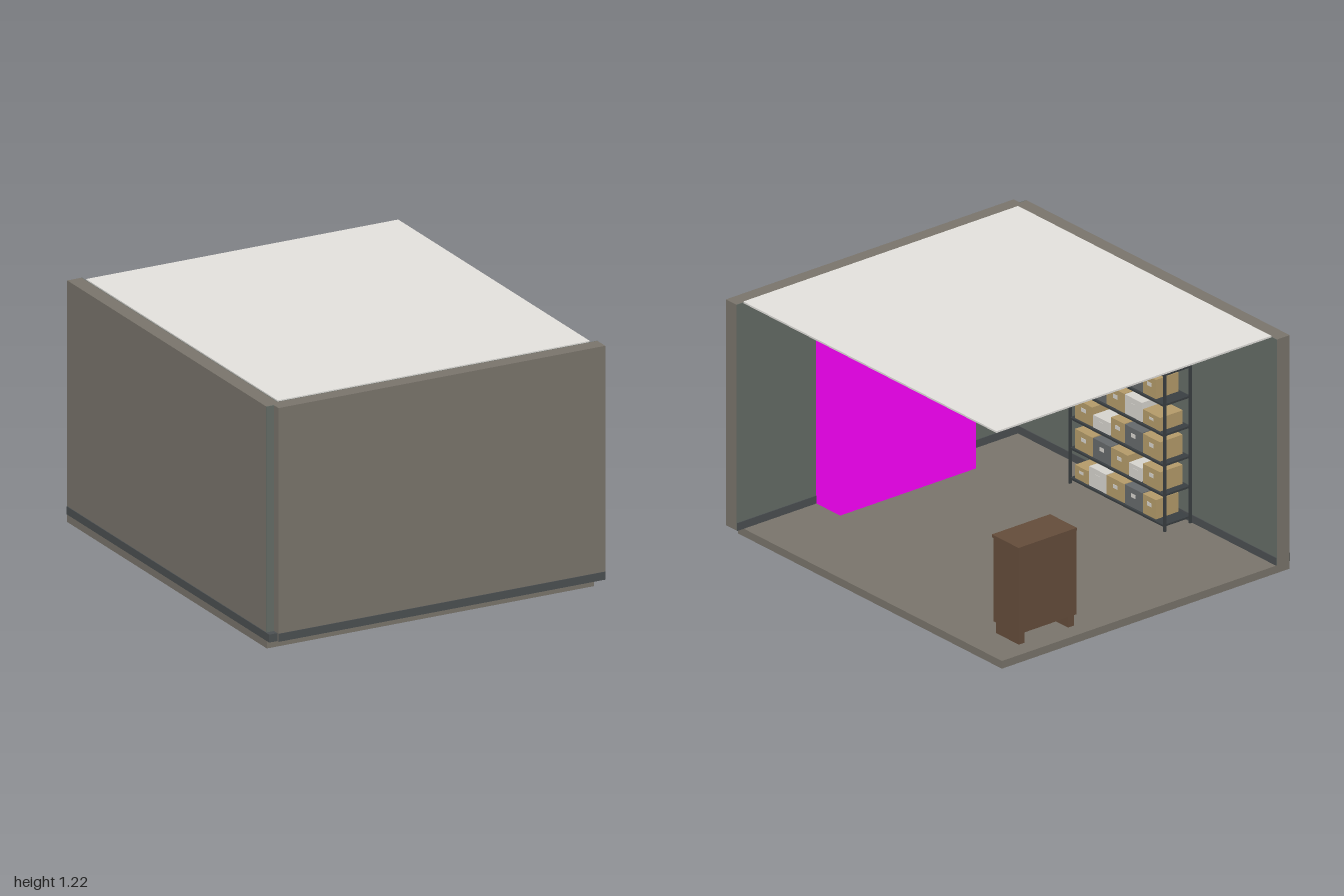
import * as THREE from 'three';

const mat = (color) => new THREE.MeshStandardMaterial({ color });
const M = {
  wall: mat(0x7a756c), paint: mat(0x656d67), trim: mat(0x4c5052), floor: mat(0x7a756c),
  ceiling: mat(0xe4e2de), magenta: mat(0xff00ff), wood: mat(0x654d3b), darkWood: mat(0x4a3627),
  brass: mat(0xc0952e), metal: mat(0x3a3f42), tan: mat(0xb59c6a), grey: mat(0x666a6c),
  white: mat(0xd8d5cf), bulb: mat(0xffd9a0),
};

// Box given by its min and max corners
function box(parent, name, material, x0, x1, y0, y1, z0, z1) {
  const m = new THREE.Mesh(new THREE.BoxGeometry(x1 - x0, y1 - y0, z1 - z0), material);
  m.position.set((x0 + x1) / 2, (y0 + y1) / 2, (z0 + z1) / 2);
  m.name = name;
  parent.add(m);
  return m;
}

function part(parent, name) {
  const g = new THREE.Group();
  g.name = name;
  parent.add(g);
  return g;
}

// Floor, two walls painted inside, skirting and ceiling
function buildRoom(root) {
  const g = part(root, 'room');
  box(g, 'floor', M.floor, -0.9, 0.86, 0, 0.04, -1, 0.96);
  box(g, 'ceiling', M.ceiling, -0.82, 0.86, 1.213, 1.222, -0.96, 0.92);
  box(g, 'sideWall', M.wall, -0.9, -0.823, 0.04, 1.216, -1, 0.953);
  box(g, 'sideWallPaint', M.paint, -0.823, -0.82, 0.04, 1.216, -1, 0.92);
  box(g, 'sideWallEndPaint', M.paint, -0.9, -0.86, 0.04, 1.216, 0.953, 0.957);
  box(g, 'frontWall', M.wall, -0.86, 0.9, 0.04, 1.216, 0.923, 1.0);
  box(g, 'frontWallPaint', M.paint, -0.82, 0.9, 0.04, 1.216, 0.92, 0.923);
  box(g, 'sideSkirting', M.trim, -0.904, -0.816, 0.04, 0.08, -0.999, 0.99);
  box(g, 'frontSkirting', M.trim, -0.86, 0.899, 0.04, 0.08, 0.916, 1.003);
}

// Floor drain
function buildDrain(root) {
  const g = part(root, 'floorDrain');
  box(g, 'drainFrame', M.grey, 0.19, 0.236, 0.04, 0.046, -0.418, -0.374);
  box(g, 'drainPlate', M.white, 0.197, 0.229, 0.046, 0.048, -0.411, -0.381);
}

// Chest of small drawers facing the front
function buildCabinet(root) {
  const g = part(root, 'drawerCabinet');
  const x0 = 0.338, x1 = 0.69, z0 = -0.92, z1 = -0.73;
  box(g, 'cabinetBody', M.wood, x0, x1, 0.1, 0.535, z0, z1);
  box(g, 'cabinetTop', M.wood, x0 - 0.002, x1 + 0.002, 0.535, 0.55, z0, z1 + 0.008);
  for (const x of [x0 + 0.008, x1 - 0.043])
    box(g, 'cabinetLeg', M.wood, x, x + 0.035, 0.04, 0.1, -0.91, -0.74);
  const w = (x1 - x0 - 0.03) / 4, h = 0.08;
  for (let r = 0; r < 5; r++) {
    for (let c = 0; c < 4; c++) {
      const x = x0 + 0.015 + c * w, y = 0.118 + r * (h + 0.001);
      box(g, 'drawer', M.darkWood, x + 0.005, x + w - 0.005, y + 0.005, y + h - 0.005, z1, z1 + 0.006);
      box(g, 'drawerPull', M.brass, x + w / 2 - 0.014, x + w / 2 + 0.014,
        y + 0.036, y + 0.05, z1 + 0.006, z1 + 0.014);
    }
  }
}

// Open shelving with storage boxes: [z start, z end, height, colour]
const ROWS = [
  [[0.305, 0.21, 0.07, 'tan'], [0.2, 0.075, 0.1, 'white'], [0.07, -0.06, 0.1, 'tan'],
    [-0.065, -0.192, 0.1, 'grey'], [-0.198, -0.295, 0.1, 'tan']],
  [[0.305, 0.177, 0.1, 'tan'], [0.17, 0.043, 0.1, 'grey'], [0.038, -0.086, 0.1, 'tan'],
    [-0.096, -0.188, 0.07, 'white'], [-0.198, -0.327, 0.1, 'tan']],
  [[0.305, 0.177, 0.1, 'tan'], [0.17, 0.048, 0.065, 'white'], [0.038, -0.06, 0.1, 'tan'],
    [-0.065, -0.192, 0.1, 'grey'], [-0.198, -0.327, 0.1, 'tan']],
  [[0.305, 0.177, 0.1, 'tan'], [0.166, 0.075, 0.1, 'grey'], [0.07, -0.06, 0.1, 'tan'],
    [-0.065, -0.192, 0.1, 'white'], [-0.198, -0.327, 0.07, 'tan']],
  [[0.305, 0.21, 0.1, 'tan'], [0.2, 0.075, 0.1, 'white'], [0.07, -0.06, 0.07, 'tan'],
    [-0.065, -0.192, 0.1, 'grey'], [-0.198, -0.295, 0.1, 'tan']],
];

function buildShelving(root) {
  const g = part(root, 'shelving');
  for (const x of [-0.815, -0.659])
    for (const z of [0.325, -0.377])
      box(g, 'shelfPost', M.metal, x, x + 0.012, 0.04, 0.9, z, z + 0.012);
  for (let i = 0; i < 6; i++) {
    const y = 0.073 + i * 0.1565;
    box(g, 'shelf', M.metal, -0.813, -0.649, y - 0.01, y, -0.367, 0.327);
    for (const [a, b, h, c] of ROWS[i] || []) {
      const mid = (a + b) / 2;
      box(g, 'storageBox', M[c], -0.8, -0.662, y, y + h, b, a);
      box(g, 'boxLabel', M.white, -0.662, -0.66, y + h * 0.52, y + h * 0.72, mid - 0.016, mid + 0.016);
    }
  }
}

// Caged ceiling lamp
function buildLamp(root) {
  const g = part(root, 'ceilingLamp');
  g.position.set(0.02, 0, -0.02);
  const add = (name, geo, material, x, y, z) => {
    const m = new THREE.Mesh(geo, material);
    m.name = name;
    m.position.set(x, y, z);
    g.add(m);
    return m;
  };
  add('lampPlate', new THREE.CylinderGeometry(0.042, 0.042, 0.014, 20), M.metal, 0, 1.206, 0);
  add('lampSocket', new THREE.CylinderGeometry(0.016, 0.016, 0.018, 14), M.metal, 0, 1.191, 0);
  add('lampBulb', new THREE.SphereGeometry(0.017, 16, 12), M.bulb, 0, 1.17, 0);
  for (const y of [1.165, 1.132])
    add('cageRing', new THREE.TorusGeometry(0.03, 0.003, 6, 20), M.metal, 0, y, 0).rotation.x = Math.PI / 2;
  for (let i = 0; i < 6; i++) {
    const t = (i * Math.PI) / 3;
    add('cageBar', new THREE.CylinderGeometry(0.0025, 0.0025, 0.07, 6), M.metal,
      0.03 * Math.cos(t), 1.166, 0.03 * Math.sin(t));
  }
}

export function createModel() {
  const root = new THREE.Group();
  root.name = 'storageRoom';
  buildRoom(root);
  buildDrain(root);
  buildCabinet(root);
  buildShelving(root);
  buildLamp(root);
  // Tall block against the front wall
  box(root, 'tallBlock', M.magenta, -0.416, 0.416, 0.04, 0.9, 0.74, 0.918);
  return root;
}
